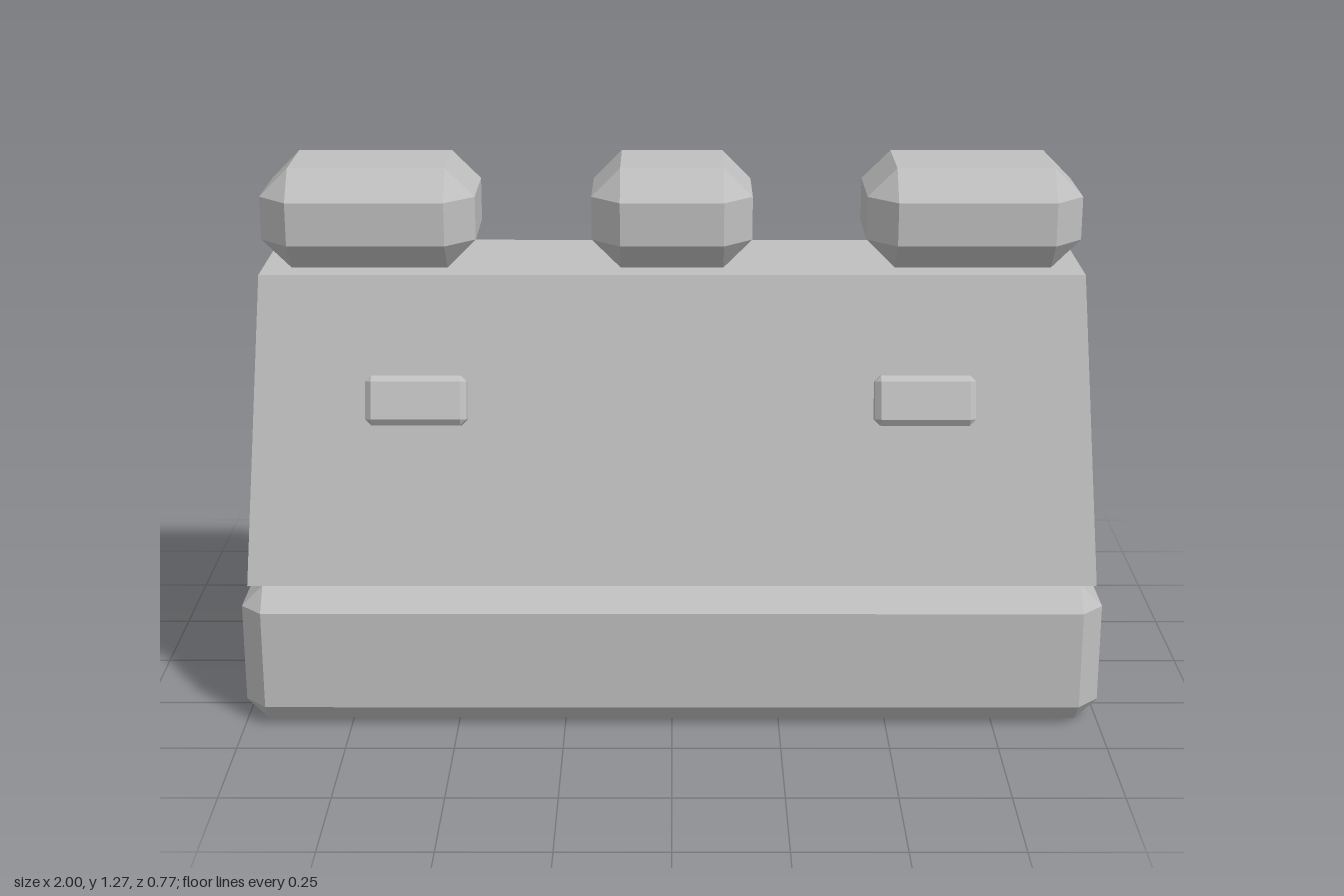
import * as THREE from 'three';
import { ConvexGeometry } from 'three/addons/geometries/ConvexGeometry.js';

// Box centred on the origin with every edge cut off by c
function chamferedBox(w, h, d, c) {
  const points = [];
  for (const sx of [-1, 1]) for (const sy of [-1, 1]) for (const sz of [-1, 1]) {
    const [x, y, z] = [w / 2, h / 2, d / 2];
    points.push(
      new THREE.Vector3(sx * x, sy * (y - c), sz * (z - c)),
      new THREE.Vector3(sx * (x - c), sy * y, sz * (z - c)),
      new THREE.Vector3(sx * (x - c), sy * (y - c), sz * z));
  }
  return new ConvexGeometry(points);
}

export function createModel() {
  const model = new THREE.Group();
  model.name = 'barrier';
  const concrete = new THREE.MeshStandardMaterial({ color: 0xbfbfbf });
  concrete.name = 'concrete grey';
  concrete.flatShading = true;

  function add(name, geometry, x, y, z) {
    const mesh = new THREE.Mesh(geometry, concrete);
    mesh.name = name;
    mesh.position.set(x, y, z);
    model.add(mesh);
    return mesh;
  }

  // Wide chamfered foot
  add('base', chamferedBox(2, 0.335, 0.77, 0.05), 0, 0.1675, 0);

  // Wall tapering towards the top
  const wall = new THREE.BoxGeometry(2, 0.7, 2);
  const pos = wall.attributes.position;
  for (let i = 0; i < pos.count; i++) {
    const top = pos.getY(i) > 0;
    pos.setX(i, pos.getX(i) * (top ? 0.95 : 0.985));
    pos.setZ(i, pos.getZ(i) * (top ? 0.167 : 0.335));
  }
  wall.computeVertexNormals();
  add('wall', wall, 0, 0.685, 0);

  // Three blocks along the top
  for (const [name, x, width] of [
    ['rightTopBlock', -0.702, 0.496],
    ['middleTopBlock', 0, 0.372],
    ['leftTopBlock', 0.698, 0.496],
  ]) add(name, chamferedBox(width, 0.235, 0.333, 0.067), x, 1.1525, 0);

  // Small tilted lugs on the front
  for (const [name, x] of [['rightLug', -0.587], ['leftLug', 0.581]]) {
    add(name, chamferedBox(0.232, 0.115, 0.09, 0.014), x, 0.755, 0.237).rotation.x = -0.3;
  }
  return model;
}
